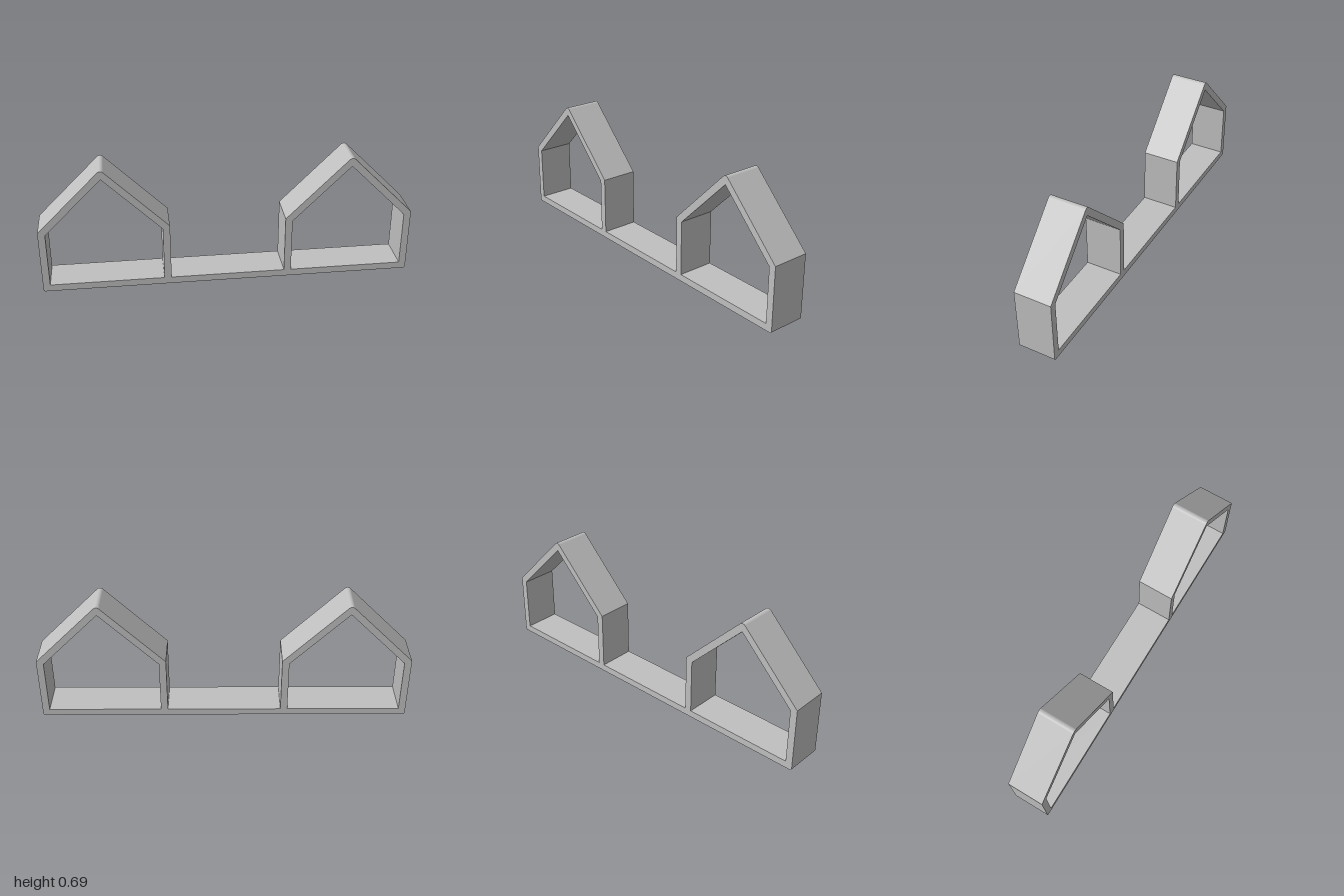
import * as THREE from 'three';

const DEPTH = 0.204;
const CENTER = 0.655; // x of each house ridge
const HALF = 0.345;   // half width of a house
const WALL = 0.038;
const EAVE = 0.357;
const RIDGE = EAVE + HALF; // sharp ridge height at 45 degrees
const ROUND = 0.013;

// Outer roof and walls of one house, traced from its right wall foot to its left
function traceHouse(shape, cx) {
  shape.lineTo(cx + HALF, EAVE);
  shape.lineTo(cx + 0.015, RIDGE - 0.015);
  shape.absarc(cx, RIDGE - 0.03, 0.0212, Math.PI / 4, Math.PI * 3 / 4, false);
  shape.lineTo(cx - HALF, EAVE);
}

// Five-sided opening inside one house
function houseOpening(cx) {
  const w = HALF - WALL;
  const eave = EAVE + WALL - WALL * Math.SQRT2;
  const hole = new THREE.Path();
  hole.moveTo(cx - w, WALL);
  hole.lineTo(cx - w, eave);
  hole.lineTo(cx, eave + w);
  hole.lineTo(cx + w, eave);
  hole.lineTo(cx + w, WALL);
  hole.closePath();
  return hole;
}

export function createModel() {
  const group = new THREE.Group();
  const grey = new THREE.MeshStandardMaterial({ color: 0xbfbfbf });
  grey.name = 'light grey';

  // Silhouette: base strip with rounded outer corners and a house at each end
  const shape = new THREE.Shape();
  shape.moveTo(-1 + ROUND, 0);
  shape.lineTo(1 - ROUND, 0);
  shape.quadraticCurveTo(1, 0, 1, ROUND);
  traceHouse(shape, CENTER);
  shape.lineTo(CENTER - HALF, WALL);
  shape.lineTo(-CENTER + HALF, WALL);
  traceHouse(shape, -CENTER);
  shape.lineTo(-1, ROUND);
  shape.quadraticCurveTo(-1, 0, -1 + ROUND, 0);
  for (const side of [-1, 1]) shape.holes.push(houseOpening(side * CENTER));

  const geometry = new THREE.ExtrudeGeometry(shape, { depth: DEPTH, bevelEnabled: false, curveSegments: 8 });
  geometry.translate(0, 0, -DEPTH / 2);

  const frame = new THREE.Mesh(geometry, grey);
  frame.name = 'twinHouseFrame';
  group.add(frame);
  return group;
}
